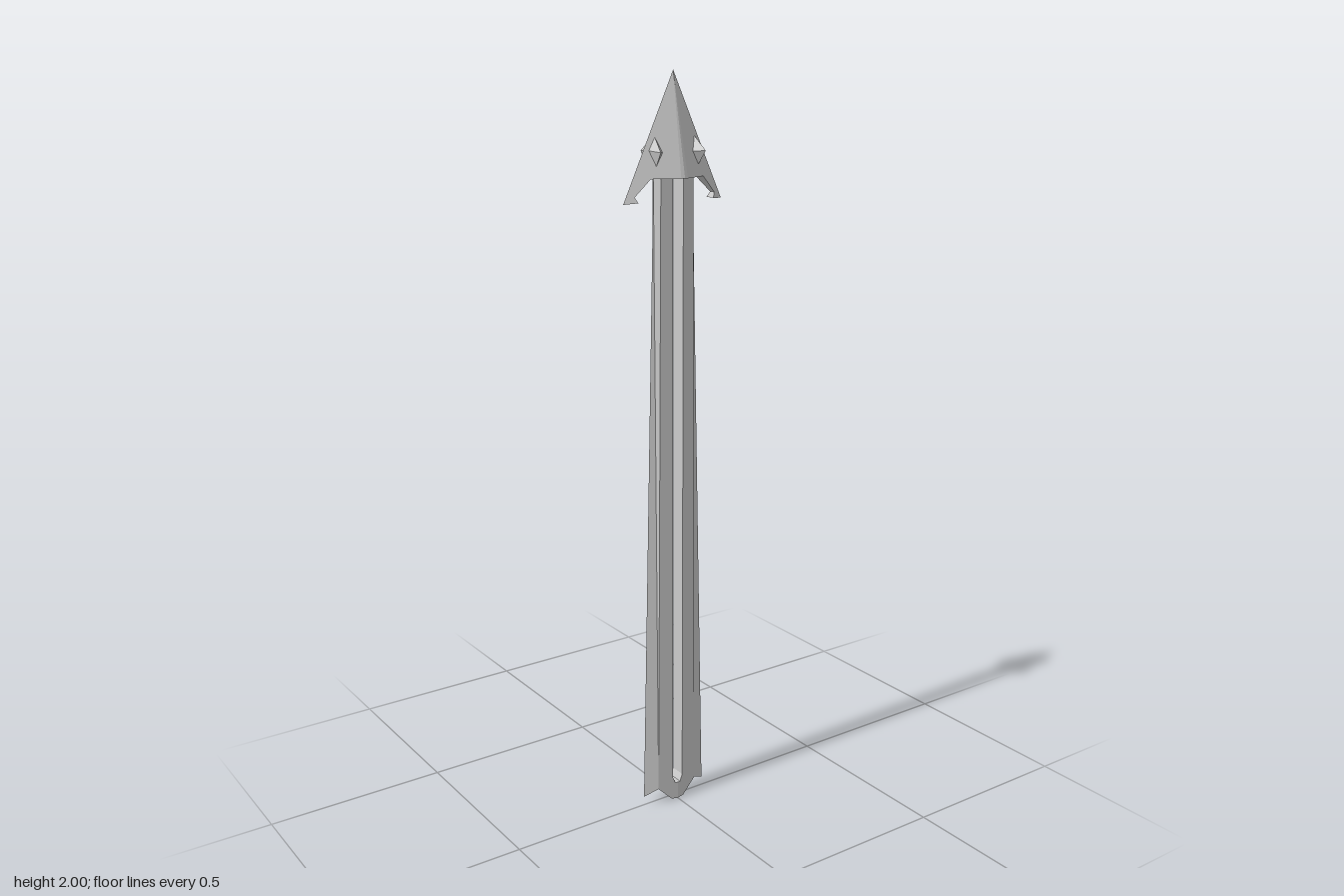
import * as THREE from 'three';

const material = new THREE.MeshStandardMaterial({ color: 0xcccccc, flatShading: true });

function meshFrom(name, triangles) {
  const geometry = new THREE.BufferGeometry();
  geometry.setAttribute('position', new THREE.Float32BufferAttribute(triangles.flat(2), 3));
  geometry.computeVertexNormals();
  const mesh = new THREE.Mesh(geometry, material);
  mesh.name = name;
  return mesh;
}

// Repeats triangles across a plane (axis 0 = x, 2 = z), keeping them facing outward
function mirrored(triangles, axis) {
  const flip = p => p.map((v, i) => (i === axis ? -v : v));
  return [...triangles, ...triangles.map(([a, b, c]) => [flip(a), flip(c), flip(b)])];
}

// Front and back skin over a counter-clockwise outline; its first rimCount edges get side walls
function plate(outline, rimCount) {
  const contour = outline.map(p => new THREE.Vector2(p[0], p[1]));
  const skin = THREE.ShapeUtils.triangulateShape(contour, []).map(t => t.map(i => outline[i]));
  const triangles = mirrored(skin, 2);
  const back = p => [p[0], p[1], -p[2]];
  for (let i = 0; i < rimCount; i++) {
    const a = outline[i], b = outline[(i + 1) % outline.length];
    if (a[0] === 0 && b[0] === 0) continue; // on the centre line
    triangles.push([back(a), back(b), b], [back(a), b, a]);
  }
  return triangles;
}

export function createModel() {
  const group = new THREE.Group();
  group.name = 'spear';

  // Slotted blade: gently sloping inner bands and sharp bevelled outer edges
  const bladeZ = ([x, y]) => [x, y, 0.0235 - 0.1 * x];
  const band = [
    [0.05, 1.745], [0.016, 1.745], [0.016, 0.07], [0.008, 0.05],
    [0, 0.05], [0, 0], [0.02, 0.003], [0.062, 0.045],
  ].map(bladeZ);
  const bevel = [band[7], [0.1, 0.025, 0], [0.06, 1.745, 0], band[0]];
  group.add(meshFrom('blade', mirrored([...plate(band, 7), ...plate(bevel, 1)], 0)));

  // Barbed head: every face falls from the narrow middle ridge to a sharp edge
  const faceZ = (x, y) => 0.447 * (0.15 * (2 - y) / 0.32 - x);
  const face = [
    [0.01, 1.74], [0.08, 1.74], [0.122, 1.697], [0.115, 1.683], [0.15, 1.68], [0, 2],
  ].map(([x, y]) => [x, y, faceZ(x, y)]);
  const ridge = [[0, 1.74, 0.052], face[0], [0, 2, 0]];
  group.add(meshFrom('head', mirrored([...plate(face, 4), ...plate(ridge, 1)], 0)));

  // Four-sided spikes on each head face
  const base = [[0.046, 1.803], [0.064, 1.77], [0.077, 1.808], [0.06, 1.84]]
    .map(([x, y]) => [x, y, faceZ(x, y)]);
  const tip = [0.068, 1.805, 0.045];
  const spike = base.map((p, i) => [p, base[(i + 1) % 4], tip]);
  group.add(meshFrom('spikes', mirrored(mirrored(spike, 0), 2)));

  return group;
}
